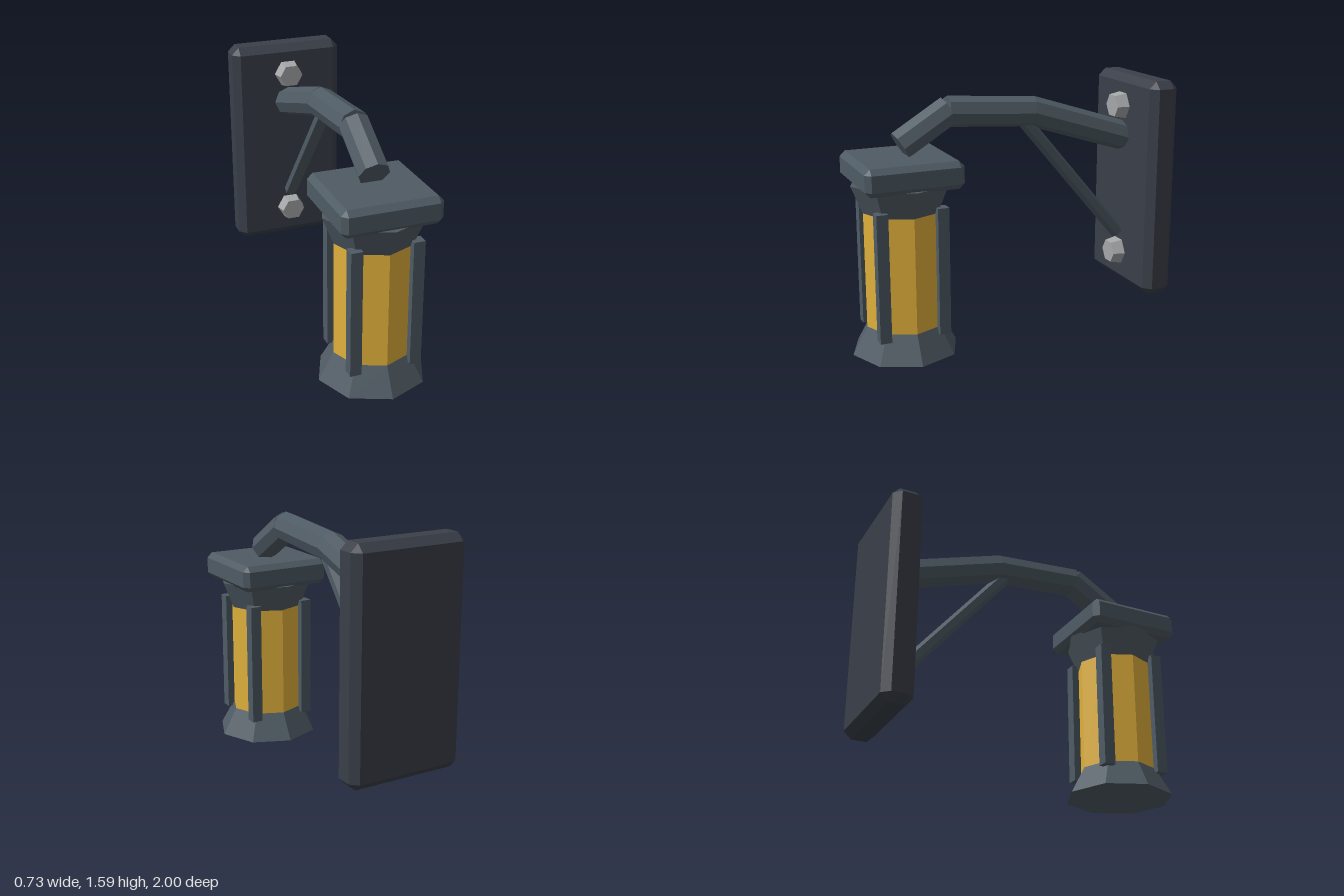
import * as THREE from 'three';
import { ConvexGeometry } from 'three/addons/geometries/ConvexGeometry.js';

const mat = (color) => new THREE.MeshStandardMaterial({ color, flatShading: true });
const iron = mat(0x4f5b64), darkIron = mat(0x3a3f49), amber = mat(0xe2b23c), steel = mat(0xa4a6a8);

function add(parent, name, geometry, material, x = 0, y = 0, z = 0) {
  const mesh = new THREE.Mesh(geometry, material);
  mesh.name = name;
  mesh.position.set(x, y, z);
  parent.add(mesh);
  return mesh;
}

// Box with every edge cut by c
function chamferBox(w, h, d, c) {
  const points = [];
  for (const sx of [-1, 1]) for (const sy of [-1, 1]) for (const sz of [-1, 1]) {
    const x = w / 2, y = h / 2, z = d / 2;
    points.push(
      new THREE.Vector3(sx * x, sy * (y - c), sz * (z - c)),
      new THREE.Vector3(sx * (x - c), sy * y, sz * (z - c)),
      new THREE.Vector3(sx * (x - c), sy * (y - c), sz * z));
  }
  return new ConvexGeometry(points);
}

// Straight bar in the x = 0 plane between two [y, z] points
function bar(parent, name, radius, sides, [y0, z0], [y1, z1]) {
  const a = new THREE.Vector3(0, y0, z0), b = new THREE.Vector3(0, y1, z1);
  const mesh = add(parent, name, new THREE.CylinderGeometry(radius, radius, a.distanceTo(b), sides), iron);
  mesh.position.addVectors(a, b).multiplyScalar(0.5);
  mesh.quaternion.setFromUnitVectors(new THREE.Vector3(0, 1, 0), b.sub(a).normalize());
}

export function createModel() {
  const model = new THREE.Group();
  model.name = 'wallLantern';

  // Wall plate with two tapered hexagonal bolts
  add(model, 'wallPlate', chamferBox(0.73, 1.365, 0.19, 0.046), darkIron, 0, 0.9075, -0.905);
  for (const y of [1.4, 0.435]) {
    const bolt = add(model, 'bolt', new THREE.CylinderGeometry(0.075, 0.092, 0.08, 6), steel, 0, y, -0.775);
    bolt.rotation.set(Math.PI / 2, Math.PI / 6, 0, 'XYZ');
  }

  // Bent arm made of three bars, and its brace
  const arm = new THREE.Group();
  arm.name = 'arm';
  model.add(arm);
  bar(arm, 'armTip', 0.093, 8, [1.262, 0.67], [1.45, 0.365]);
  bar(arm, 'armMiddle', 0.093, 8, [1.444, 0.38], [1.405, -0.175]);
  bar(arm, 'armRoot', 0.093, 8, [1.41, -0.16], [1.203, -0.815]);
  bar(arm, 'brace', 0.043, 6, [1.36, -0.115], [0.56, -0.795]);

  // Eight-sided lantern
  const lantern = new THREE.Group();
  lantern.name = 'lantern';
  lantern.position.z = 0.67;
  model.add(lantern);
  add(lantern, 'base', new THREE.CylinderGeometry(0.237, 0.33, 0.17, 8), iron, 0, 0.085, 0);
  add(lantern, 'glass', new THREE.CylinderGeometry(0.237, 0.237, 0.71, 8), amber, 0, 0.525, 0);
  add(lantern, 'collar', new THREE.CylinderGeometry(0.307, 0.237, 0.17, 8), iron, 0, 0.965, 0);
  add(lantern, 'cap', chamferBox(0.595, 0.165, 0.595, 0.033), iron, 0, 1.122, -0.003);
  for (const x of [-0.185, 0.185]) for (const z of [-0.185, 0.185])
    add(lantern, 'post', new THREE.BoxGeometry(0.07, 0.785, 0.07), iron, x, 0.527, z);

  return model;
}
